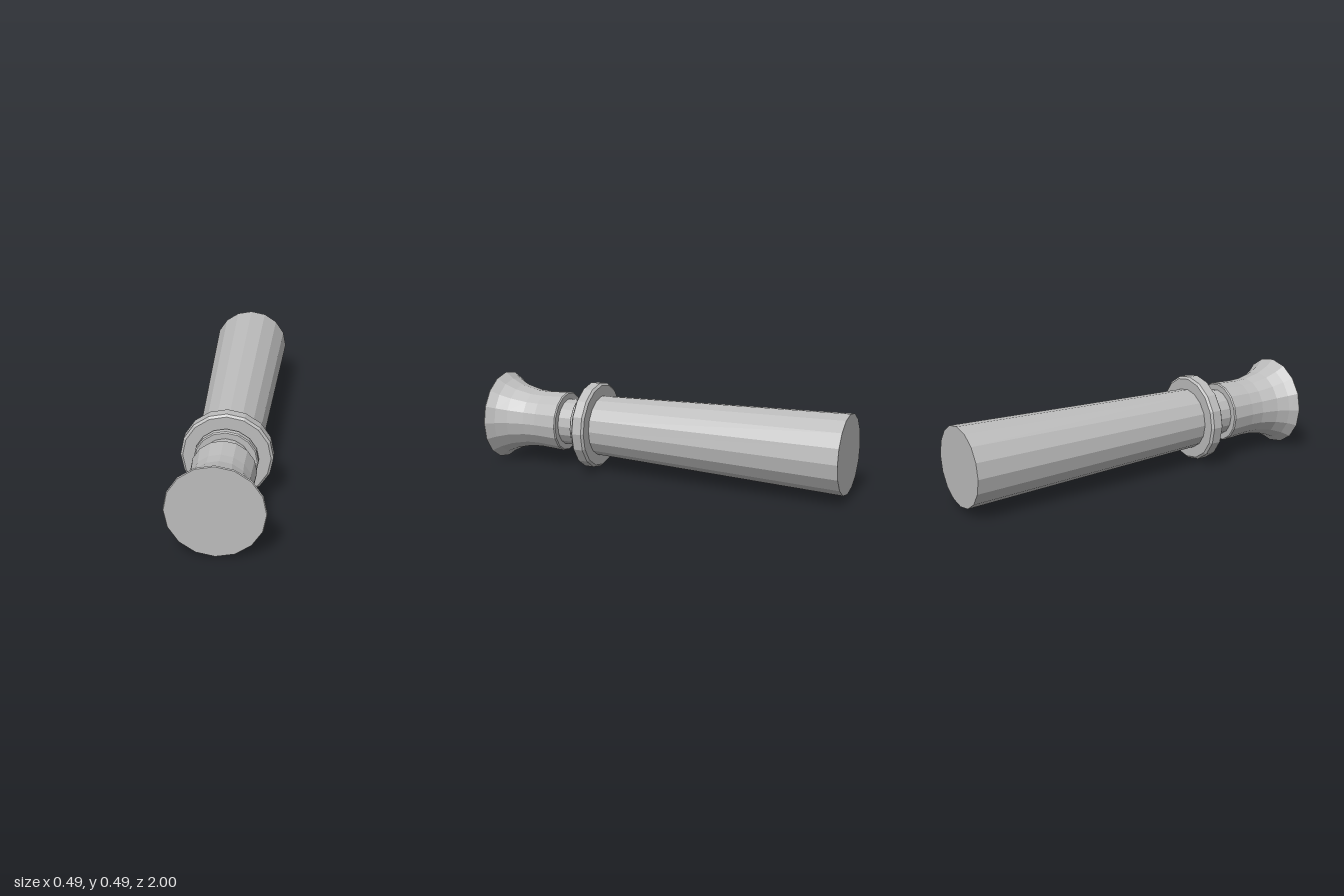
import * as THREE from 'three';

const SIDES = 16;
const AXIS_HEIGHT = 0.244;

const metal = new THREE.MeshStandardMaterial({ color: 0xbcbcbc, flatShading: true });
metal.name = 'grey metal';

// Turned part around the z axis; profile is [radius, z] from back to front, with end caps
function turned(name, profile) {
  const ends = [[0, profile[0][1]], ...profile, [0, profile[profile.length - 1][1]]];
  const points = ends.map(([r, z]) => new THREE.Vector2(r, z));
  const geometry = new THREE.LatheGeometry(points, SIDES);
  geometry.rotateX(Math.PI / 2);
  const mesh = new THREE.Mesh(geometry, metal);
  mesh.name = name;
  mesh.position.y = AXIS_HEIGHT;
  return mesh;
}

export function createModel() {
  const group = new THREE.Group();
  group.name = 'turnedHandle';

  // Long tapering grip, widest at the back
  group.add(turned('grip', [[0.21, -1], [0.163, 0.4]]));

  // Wide guard ring with bevelled edges
  group.add(turned('guardRing', [
    [0.222, 0.389], [0.234, 0.4], [0.234, 0.452], [0.222, 0.462],
  ]));

  // Stepped collar in front of the ring
  group.add(turned('collar', [
    [0.154, 0.455], [0.154, 0.468], [0.163, 0.474], [0.163, 0.502], [0.157, 0.507],
  ]));

  // Narrow neck
  group.add(turned('neck', [[0.126, 0.5], [0.126, 0.605]]));

  // Flared bell with a small lip at the front
  group.add(turned('bell', [
    [0.158, 0.597], [0.164, 0.603], [0.157, 0.73], [0.16, 0.8],
    [0.181, 0.89], [0.21, 0.95], [0.243, 0.994], [0.239, 1],
  ]));

  return group;
}
